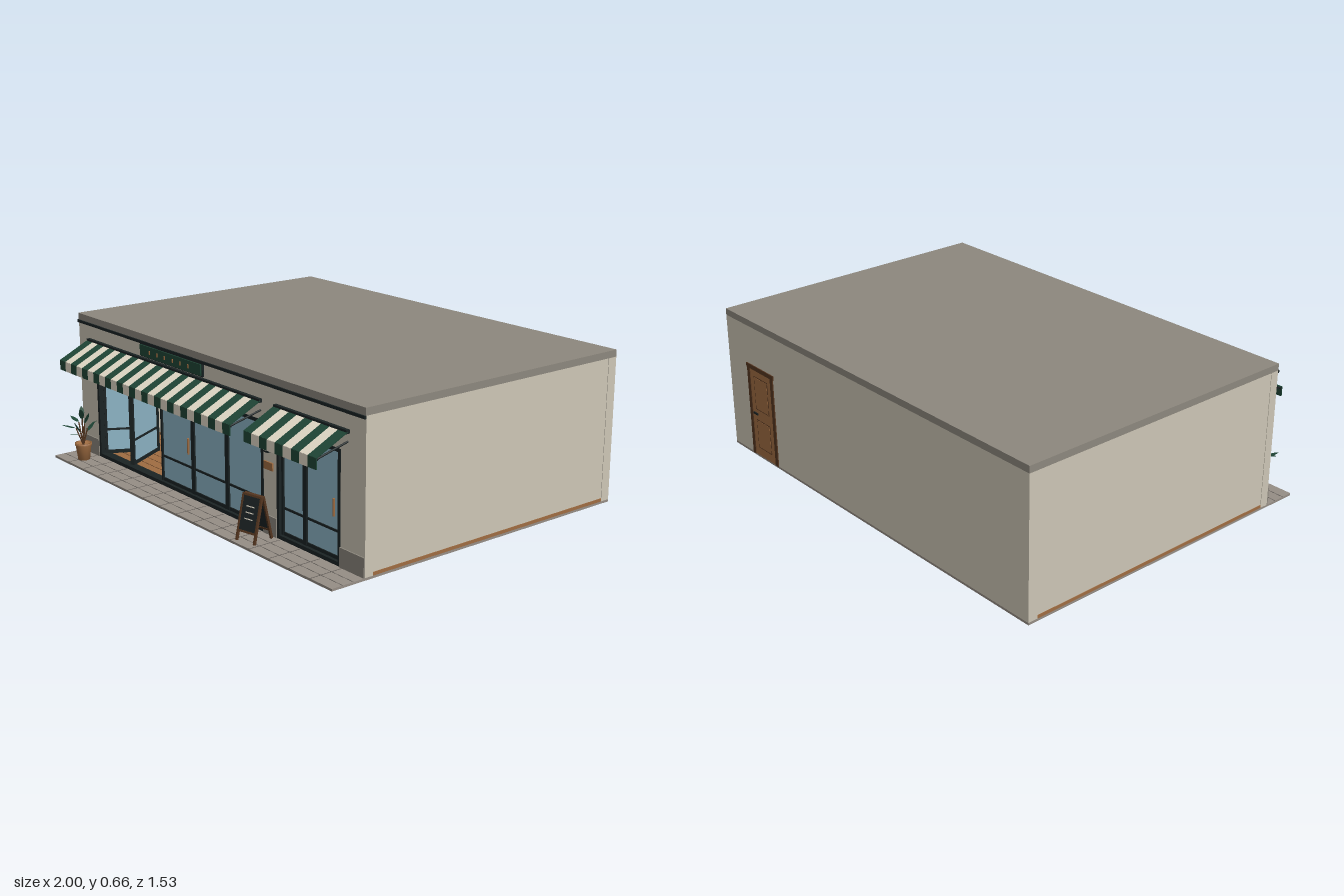
import * as THREE from 'three';

const mat = (name, color, side = THREE.FrontSide) => {
  const m = new THREE.MeshStandardMaterial({ color, side });
  m.name = name;
  return m;
};

export function createModel() {
  const wall = mat('plaster', 0xcdc6b6), stone = mat('roof grey', 0x8d887e), paving = mat('paving', 0x968e86);
  const joint = mat('paving joint', 0x625e59), dark = mat('dark metal', 0x1b2324);
  const green = mat('green', 0x1f4636, THREE.DoubleSide), cream = mat('awning cream', 0xe2dac8, THREE.DoubleSide);
  const glass = mat('glass', 0x8fb7c8), wood = mat('wood', 0xa06d42), darkWood = mat('dark wood', 0x553620);

  const model = new THREE.Group();
  const group = (name, parent = model) => {
    const g = new THREE.Group();
    g.name = name;
    parent.add(g);
    return g;
  };
  const add = (name, geo, m, parent = model) => {
    const mesh = new THREE.Mesh(geo, m);
    mesh.name = name;
    parent.add(mesh);
    return mesh;
  };
  // box given by its minimum and maximum on each axis
  const box = (name, m, x0, x1, y0, y1, z0, z1, parent = model) => {
    const b = add(name, new THREE.BoxGeometry(x1 - x0, y1 - y0, z1 - z0), m, parent);
    b.position.set((x0 + x1) / 2, (y0 + y1) / 2, (z0 + z1) / 2);
    return b;
  };
  // round bar between two points
  const bar = (name, m, a, b, r, parent = model) => {
    const p = new THREE.Vector3(...a), q = new THREE.Vector3(...b), d = q.clone().sub(p);
    const c = add(name, new THREE.CylinderGeometry(r, r, d.length(), 8), m, parent);
    c.position.copy(p).add(q).multiplyScalar(0.5);
    c.quaternion.setFromUnitVectors(new THREE.Vector3(0, 1, 0), d.normalize());
    return c;
  };

  // shell
  box('base', paving, -1, 1, 0, 0.01, -0.755, 0.6);
  box('woodFloor', wood, -1, 1, 0.01, 0.024, -0.71, 0.56);
  for (const s of [-1, 1]) box('sideWall', wall, Math.min(s * 0.96, s * 0.998), Math.max(s * 0.96, s * 0.998), 0.024, 0.63, -0.71, 0.56);
  box('backWall', wall, -1, 1, 0.01, 0.63, -0.755, -0.71);
  box('roof', stone, -1, 1, 0.63, 0.66, -0.755, 0.602);
  box('corniceStrip', dark, -1, 1, 0.618, 0.63, 0.6, 0.608);

  // shopfront wall with two openings
  const rect = (T, x0, x1, y0, y1) => new T([[x0, y0], [x1, y0], [x1, y1], [x0, y1]].map(p => new THREE.Vector2(...p)));
  const facade = rect(THREE.Shape, -1, 1, 0.01, 0.63);
  facade.holes.push(rect(THREE.Path, -0.86, 0.39, 0.012, 0.47), rect(THREE.Path, 0.475, 0.86, 0.012, 0.47));
  add('frontWall', new THREE.ExtrudeGeometry(facade, { depth: 0.04, bevelEnabled: false }), wall).position.z = 0.56;
  for (const [a, b] of [[-1, -0.86], [0.39, 0.475], [0.86, 1]]) box('plinth', stone, a, b, 0.01, 0.09, 0.6, 0.606);

  // pavement with joints
  box('pavement', paving, -1, 1, 0, 0.01, 0.6, 0.757);
  for (let i = 1; i < 16; i++) box('pavementJoint', joint, -1 + i / 8 - 0.002, -1 + i / 8 + 0.002, 0.0095, 0.0106, 0.608, 0.757);
  for (const z of [0.655, 0.706]) box('pavementJoint', joint, -1, 1, 0.0095, 0.0106, z - 0.0015, z + 0.0015);

  // floor board seams
  for (let i = 1; i < 26; i++) box('floorSeam', darkWood, -0.95, 0.95, 0.0235, 0.0248, -0.71 + i * 0.049, -0.708 + i * 0.049);

  // glazed panel in a metal frame, spanning two points in plan
  const panel = (x0, z0, x1, z1, handle = 0) => {
    const g = group('glazedPanel'), w = Math.hypot(x1 - x0, z1 - z0), f = 0.012;
    g.position.set(x0, 0, z0);
    g.rotation.y = Math.atan2(z0 - z1, x1 - x0);
    box('pane', glass, f, w - f, 0.03, 0.455, -0.003, 0.003, g);
    for (const x of [0, w - f]) box('stile', dark, x, x + f, 0.024, 0.465, -0.01, 0.01, g);
    for (const [a, b] of [[0.024, 0.04], [0.134, 0.143], [0.45, 0.465]]) box('rail', dark, f, w - f, a, b, -0.008, 0.008, g);
    if (handle) bar('handle', wood, [handle, 0.2, 0.02], [handle, 0.27, 0.02], 0.005, g);
  };
  panel(-0.845, 0.58, -0.73, 0.37);
  panel(-0.73, 0.37, -0.615, 0.58);
  panel(-0.36, 0.58, -0.118, 0.58, 0.225);
  panel(-0.118, 0.58, 0.126, 0.58);
  panel(0.126, 0.58, 0.375, 0.58);
  panel(0.49, 0.58, 0.635, 0.58);
  panel(0.635, 0.58, 0.845, 0.58, 0.185);
  for (const [a, b] of [[-0.86, 0.39], [0.475, 0.86]]) {
    box('frameHead', dark, a, b, 0.46, 0.472, 0.56, 0.602);
    box('threshold', dark, a, b, 0.01, 0.026, 0.56, 0.602);
    for (const x of [a, b - 0.015]) box('frameJamb', dark, x, x + 0.015, 0.012, 0.47, 0.56, 0.602);
  }

  // striped awnings: sloping cloth and hanging valance, one strip per stripe
  const awning = (x0, x1, n) => {
    const g = group('awning'), w = (x1 - x0) / n;
    const slope = Math.hypot(0.145, 0.07);
    for (let i = 0; i < n; i++) {
      const m = i % 2 ? cream : green, x = x0 + (i + 0.5) * w;
      const cloth = add('awningStripe', new THREE.BoxGeometry(w, 0.004, slope), m, g);
      cloth.position.set(x, 0.515, 0.6825);
      cloth.rotation.x = Math.atan2(0.07, 0.145);
      add('valanceStripe', new THREE.BoxGeometry(w, 0.044, 0.004), m, g).position.set(x, 0.459, 0.755);
    }
    box('awningCassette', dark, x0, x1, 0.543, 0.558, 0.6, 0.616, g);
    bar('awningFrontBar', dark, [x0, 0.474, 0.75], [x1, 0.474, 0.75], 0.004, g);
    for (const x of [x0 + 0.01, x1 - 0.01]) bar('awningArm', dark, [x, 0.51, 0.6], [x, 0.472, 0.75], 0.004, g);
  };
  awning(-0.91, 0.385, 27);
  awning(0.475, 0.91, 9);

  // sign board with small studs
  box('signEdge', dark, -0.473, -0.007, 0.563, 0.621, 0.6, 0.608);
  box('signBoard', green, -0.467, -0.013, 0.568, 0.616, 0.606, 0.614);
  for (let i = 0; i < 6; i++) box('signStud', wood, -0.393 + i * 0.058, -0.386 + i * 0.058, 0.584, 0.6, 0.613, 0.617);

  // wall lamp and plaque
  box('lampCase', dark, 0.408, 0.442, 0.355, 0.405, 0.6, 0.62);
  box('lampFace', cream, 0.415, 0.435, 0.363, 0.397, 0.619, 0.622);
  box('plaque', wood, 0.398, 0.455, 0.28, 0.312, 0.6, 0.607);

  // folding pavement board
  const board = group('pavementBoard');
  board.position.set(0.43, 0.01, 0.68);
  board.rotation.y = 0.2;
  for (const s of [-1, 1]) {
    const leaf = group('boardLeaf', board);
    leaf.position.y = 0.185;
    leaf.rotation.y = s > 0 ? 0 : Math.PI;
    const tilt = group('boardTilt', leaf);
    tilt.rotation.x = -0.25;
    box('boardFace', dark, -0.042, 0.042, -0.145, -0.008, 0, 0.006, tilt);
    for (const x of [-0.05, 0.042]) box('boardLeg', darkWood, x, x + 0.008, -0.19, 0, -0.002, 0.009, tilt);
    for (const y of [-0.153, -0.008]) box('boardRail', darkWood, -0.05, 0.05, y, y + 0.008, -0.002, 0.009, tilt);
    for (const y of [-0.05, -0.075, -0.1]) box('chalkStroke', cream, -0.02, 0.02, y, y + 0.004, 0.005, 0.008, tilt);
  }

  // potted plant
  const plant = group('plant');
  plant.position.set(-0.87, 0.01, 0.68);
  const pot = [[0, 0], [0.027, 0], [0.036, 0.068], [0.039, 0.068], [0.039, 0.078], [0.032, 0.078], [0.031, 0.068], [0, 0.068]];
  add('pot', new THREE.LatheGeometry(pot.map(p => new THREE.Vector2(...p)), 16), wood, plant);
  const leafShape = new THREE.Shape();
  leafShape.moveTo(0, 0);
  leafShape.quadraticCurveTo(0.024, 0.03, 0, 0.065);
  leafShape.quadraticCurveTo(-0.024, 0.03, 0, 0);
  const leafGeo = new THREE.ShapeGeometry(leafShape, 5);
  for (let i = 0; i < 9; i++) {
    const a = i * 2.4, r = 0.012 + (i % 3) * 0.009, h = 0.125 + (i % 4) * 0.022;
    const tip = [Math.sin(a) * r, h, Math.cos(a) * r];
    bar('stem', darkWood, [0, 0.065, 0], tip, 0.003, plant);
    const leaf = add('leaf', leafGeo, green, plant);
    leaf.position.set(...tip);
    leaf.rotation.set(0.5 + (i % 3) * 0.4, a, 0, 'YXZ');
  }

  // serving counter and its equipment
  const bars = group('counter');
  box('counterBody', cream, -0.8, 0.3, 0.024, 0.2, -0.2, -0.02, bars);
  box('counterTop', darkWood, -0.82, 0.32, 0.2, 0.218, -0.21, 0, bars);
  for (let i = 0; i < 19; i++) box('counterBatten', stone, -0.79 + i * 0.06, -0.784 + i * 0.06, 0.024, 0.2, -0.02, -0.016, bars);
  box('coffeeMachine', dark, -0.62, -0.55, 0.218, 0.285, -0.16, -0.06, bars);
  box('machineFront', glass, -0.612, -0.558, 0.235, 0.275, -0.061, -0.055, bars);
  box('displayCase', glass, -0.5, -0.34, 0.232, 0.32, -0.16, -0.05, bars);
  for (const y of [0.222, 0.272, 0.32]) box('displayShelf', y < 0.3 ? wood : dark, -0.505, -0.335, y, y + 0.01, -0.165, -0.045, bars);

  // wall shelves with jars
  for (const y of [0.33, 0.39]) {
    box('wallShelf', darkWood, -0.8, 0.3, y, y + 0.01, -0.71, -0.62);
    for (let i = 0; i < 12; i++)
      add('jar', new THREE.CylinderGeometry(0.014, 0.012, 0.034, 10), [wood, cream, dark][i % 3]).position.set(-0.75 + i * 0.085, y + 0.027, -0.66);
  }

  // hanging lamps
  for (const x of [-0.72, -0.44, -0.1, 0.2]) {
    bar('lampCord', dark, [x, 0.41, 0.1], [x, 0.63, 0.1], 0.002);
    add('lampShade', new THREE.ConeGeometry(0.03, 0.035, 12), dark).position.set(x, 0.4, 0.1);
  }

  // chair and small round table
  const chair = group('chair');
  chair.position.set(-0.51, 0.024, 0.36);
  box('seat', wood, -0.045, 0.045, 0.085, 0.095, -0.045, 0.045, chair);
  for (const x of [-0.04, 0.04]) {
    bar('chairFrontLeg', wood, [x * 1.15, 0, 0.045], [x, 0.09, 0.035], 0.005, chair);
    bar('chairBackLeg', wood, [x * 1.15, 0, -0.045], [x, 0.16, -0.042], 0.005, chair);
  }
  box('chairBack', wood, -0.045, 0.045, 0.135, 0.16, -0.047, -0.038, chair);
  const table = group('table');
  table.position.set(-0.39, 0.024, 0.25);
  add('tableTop', new THREE.CylinderGeometry(0.06, 0.06, 0.01, 20), darkWood, table).position.y = 0.125;
  bar('tableStem', dark, [0, 0, 0], [0, 0.12, 0], 0.006, table);
  add('tableFoot', new THREE.CylinderGeometry(0.035, 0.04, 0.008, 16), dark, table).position.y = 0.004;

  // back door
  const door = group('backDoor');
  box('doorLeaf', wood, 0.67, 0.83, 0.01, 0.43, -0.757, -0.75, door);
  for (const x of [0.65, 0.83]) box('doorJamb', darkWood, x, x + 0.02, 0.01, 0.43, -0.76, -0.75, door);
  box('doorHead', darkWood, 0.645, 0.855, 0.43, 0.45, -0.76, -0.75, door);
  for (const [a, b] of [[0.05, 0.19], [0.24, 0.4]]) {
    box('doorPanelGroove', darkWood, 0.697, 0.803, a, b, -0.758, -0.752, door);
    box('doorPanel', wood, 0.701, 0.799, a + 0.004, b - 0.004, -0.759, -0.752, door);
  }
  box('doorHandle', dark, 0.79, 0.822, 0.213, 0.222, -0.762, -0.755, door);
  return model;
}
